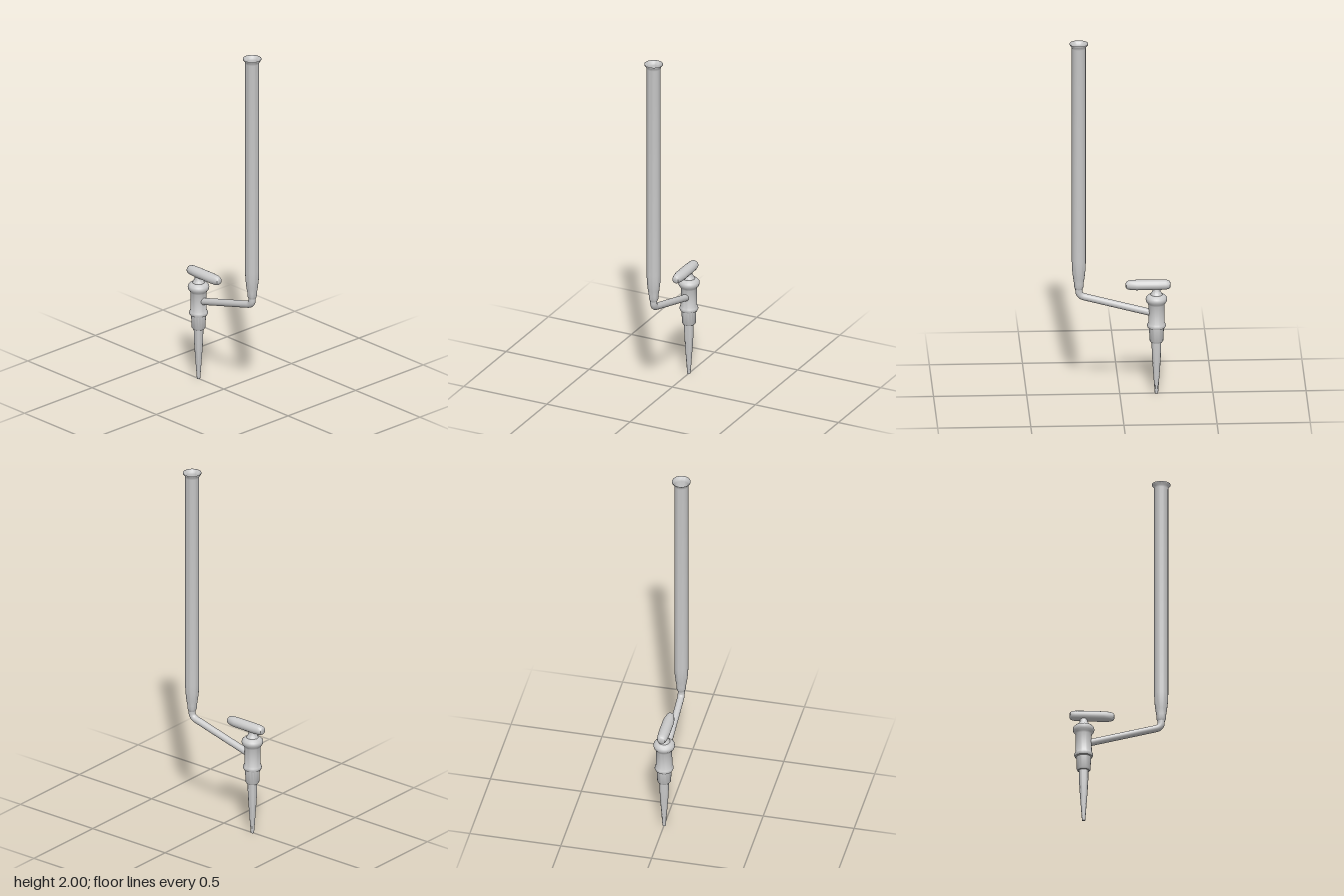
import * as THREE from 'three';
import { toCreasedNormals } from 'three/addons/utils/BufferGeometryUtils.js';

const TUBE_Z = 0.22;
const VALVE_Z = -0.197;

const solid = new THREE.MeshStandardMaterial({ color: 0xcccccc });
const open = new THREE.MeshStandardMaterial({ color: 0xcccccc, side: THREE.DoubleSide });

function addPart(group, name, geometry, material = solid) {
  const mesh = new THREE.Mesh(geometry, material);
  mesh.name = name;
  group.add(mesh);
  return mesh;
}

// Turned part: [radius, y] pairs from bottom to top
function turned(profile, z) {
  const points = profile.map(([r, y]) => new THREE.Vector2(r, y));
  return toCreasedNormals(new THREE.LatheGeometry(points, 32), 0.7).translate(0, 0, z);
}

// Lofted solid along z: [z, half width, half height] sections, closed at both ends
function lofted(sections, sides, y) {
  const positions = [];
  const index = [];
  sections.forEach(([z, w, h]) => {
    for (let i = 0; i < sides; i++) {
      const a = (i / sides) * Math.PI * 2;
      positions.push(w * Math.cos(a), y + h * Math.sin(a), z);
    }
  });
  for (let s = 0; s < sections.length - 1; s++) {
    for (let i = 0; i < sides; i++) {
      const j = (i + 1) % sides;
      const a = s * sides + i, b = s * sides + j;
      index.push(a, b, b + sides, a, b + sides, a + sides);
    }
  }
  const last = (sections.length - 1) * sides;
  for (let i = 1; i < sides - 1; i++) {
    index.push(0, i + 1, i, last, last + i, last + i + 1);
  }
  const geometry = new THREE.BufferGeometry();
  geometry.setAttribute('position', new THREE.Float32BufferAttribute(positions, 3));
  geometry.setIndex(index);
  return toCreasedNormals(geometry, 0.6);
}

export function createModel() {
  const model = new THREE.Group();
  model.name = 'inletTubeWithValve';

  // Tall open tube with a flared rim and a tapered foot
  addPart(model, 'tallTube', turned([
    [0.02, 0.6], [0.026, 0.615], [0.026, 0.635], [0.031, 0.665], [0.036, 0.71],
    [0.038, 0.76], [0.038, 1.972], [0.04, 1.983], [0.05, 1.995], [0.05, 2],
  ], TUBE_Z), open);

  // Thin pipe: short drop, rounded bend, sloping run into the valve
  const path = new THREE.CurvePath();
  const v = (y, z) => new THREE.Vector3(0, y, z);
  path.add(new THREE.LineCurve3(v(0.63, TUBE_Z), v(0.59, TUBE_Z)));
  path.add(new THREE.QuadraticBezierCurve3(v(0.59, TUBE_Z), v(0.563, TUBE_Z), v(0.555, 0.19)));
  path.add(new THREE.LineCurve3(v(0.555, 0.19), v(0.457, -0.18)));
  addPart(model, 'connectingPipe', new THREE.TubeGeometry(path, 64, 0.019, 20), open);

  // Valve: collars and barrel
  const valve = new THREE.Group();
  valve.name = 'valve';
  model.add(valve);
  addPart(valve, 'valveBody', turned([
    [0, 0.294], [0.032, 0.294], [0.037, 0.302], [0.04, 0.373], [0.047, 0.376],
    [0.051, 0.386], [0.049, 0.395], [0.044, 0.404], [0.043, 0.505], [0.047, 0.514],
    [0.055, 0.524], [0.058, 0.536], [0.056, 0.547], [0.046, 0.557], [0.034, 0.562], [0, 0.565],
  ], VALVE_Z));

  // Tapered outlet spout
  addPart(valve, 'spout', turned([
    [0, 0], [0.009, 0], [0.012, 0.04], [0.017, 0.11], [0.022, 0.18],
    [0.025, 0.24], [0.026, 0.3],
  ], VALVE_Z));

  // Stem under the handle
  addPart(valve, 'stem', turned([
    [0.034, 0.558], [0.028, 0.572], [0.021, 0.582], [0.02, 0.61],
  ], VALVE_Z));

  // Lever handle, narrowing towards the front
  addPart(valve, 'handle', lofted([
    [-0.272, 0.013, 0.013], [-0.269, 0.02, 0.019], [-0.261, 0.025, 0.024],
    [-0.245, 0.028, 0.027], [-0.2, 0.031, 0.028], [-0.09, 0.031, 0.028],
    [-0.06, 0.025, 0.027], [-0.042, 0.02, 0.023], [-0.035, 0.017, 0.018], [-0.032, 0.012, 0.012],
  ], 16, 0.618), solid);

  return model;
}
